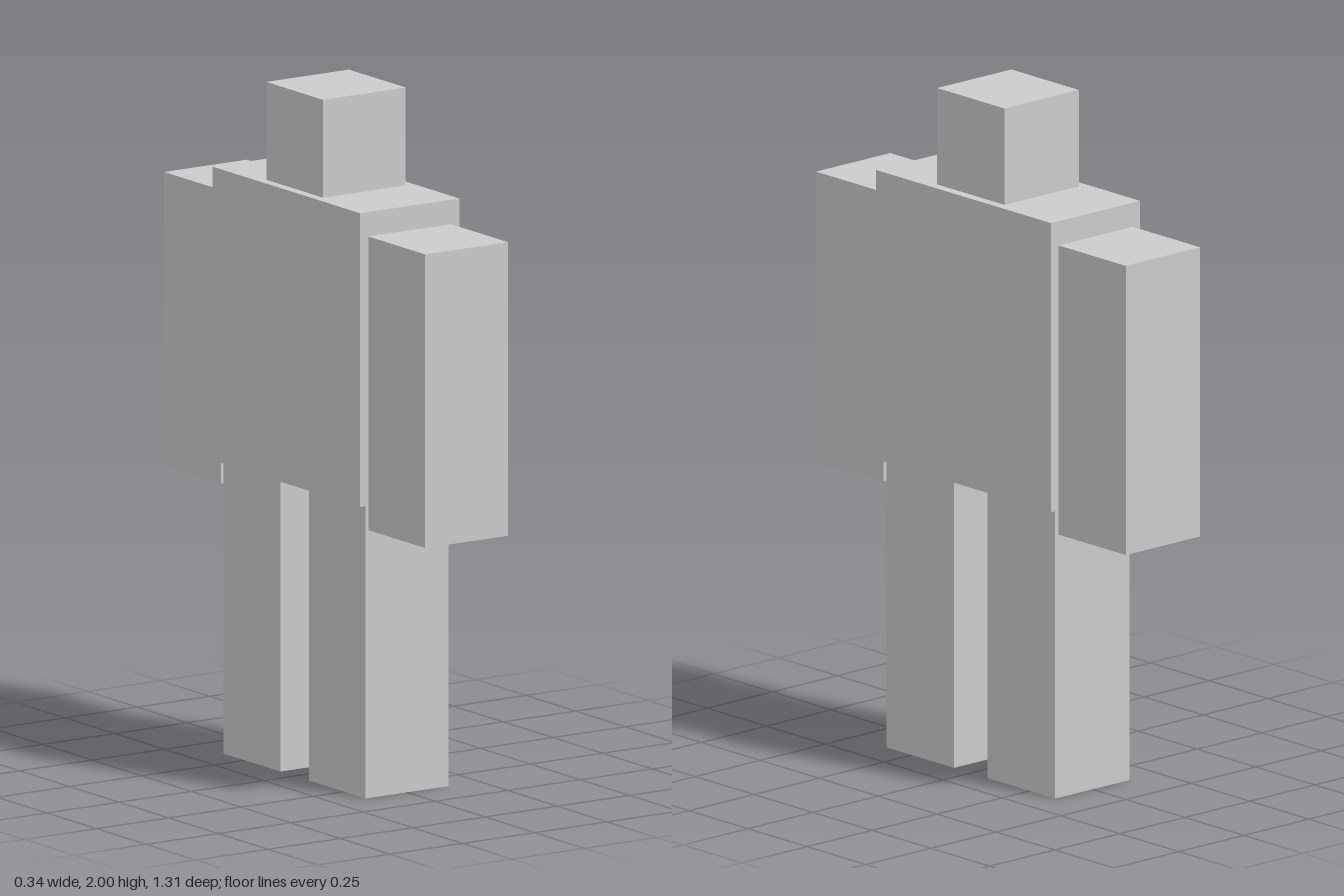
import * as THREE from 'three';

// Blocky figure, seven head-heights tall, shoulders running along z
const U = 2 / 7;

export function createModel() {
  const model = new THREE.Group();
  model.name = 'blockFigure';
  const material = new THREE.MeshStandardMaterial({ color: 0xcccccc, flatShading: true });

  // Adds a box measured in head units, standing on height y
  function block(name, width, height, depth, y, z = 0) {
    const mesh = new THREE.Mesh(new THREE.BoxGeometry(width * U, height * U, depth * U), material);
    mesh.name = name;
    mesh.position.set(0, (y + height / 2) * U, z * U);
    model.add(mesh);
  }

  block('head', 1, 1, 1, 6);
  block('torso', 1.2, 3, 2.6, 3);

  // Matching arm and leg at each end of the torso
  for (const [end, side] of [['front', 1], ['back', -1]]) {
    block(end + 'Arm', 1, 3, 1, 2.75, side * 1.8);
    block(end + 'Leg', 1, 3, 1, 0, side * 0.75);
  }

  return model;
}
